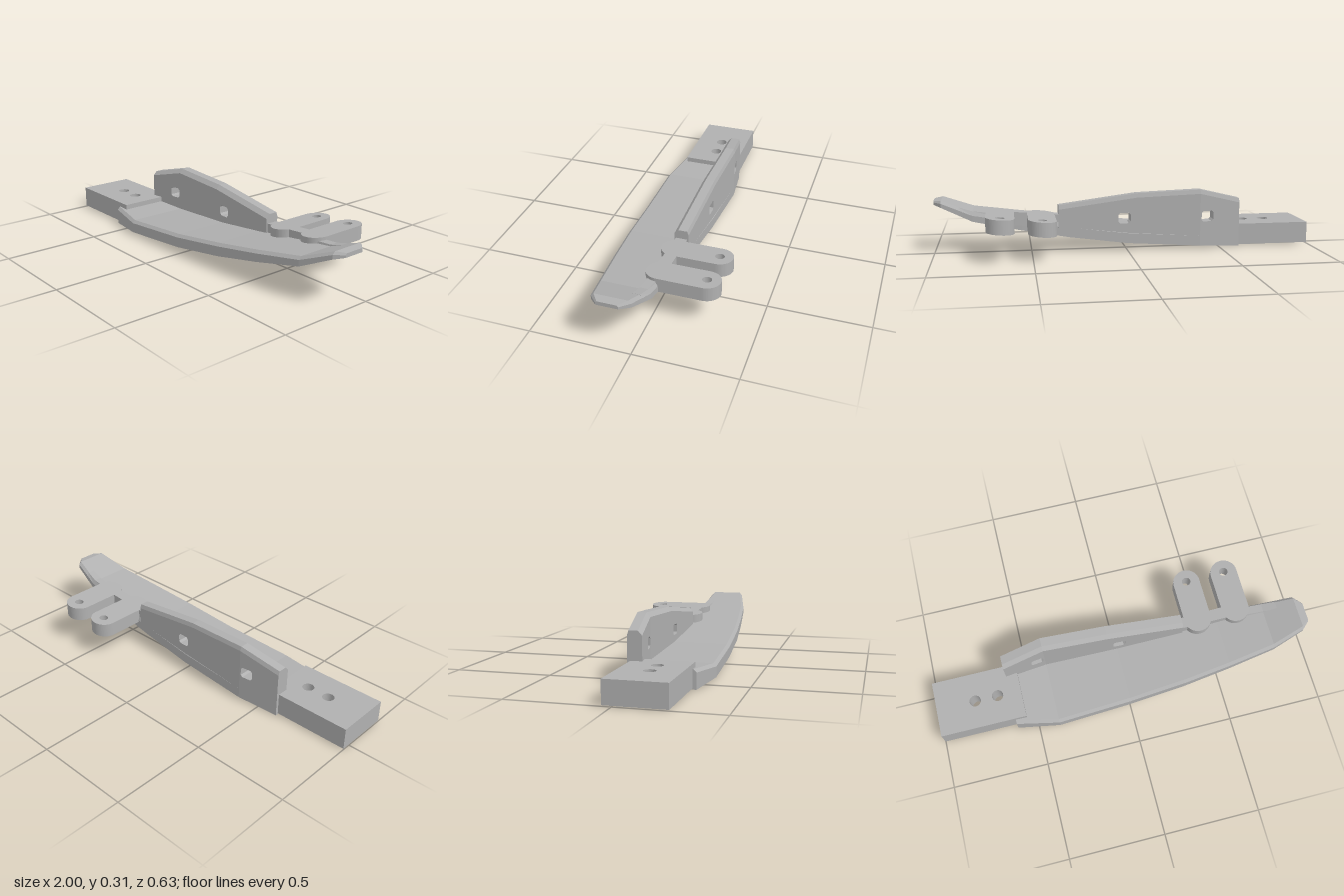
import * as THREE from 'three';

const mat = new THREE.MeshStandardMaterial({ color: 0xb0b0b0 });
mat.name = 'grey plastic';

// Closed solid through cross-sections: each section is { x, pts: [[z, y], ...] }
function loft(sections) {
  const pos = [];
  const put = (s, j) => pos.push(s.x, s.pts[j][1], s.pts[j][0]);
  const n = sections[0].pts.length;
  for (let i = 0; i < sections.length - 1; i++) {
    const a = sections[i], b = sections[i + 1];
    for (let j = 0; j < n; j++) {
      const k = (j + 1) % n;
      put(a, j); put(a, k); put(b, k);
      put(a, j); put(b, k); put(b, j);
    }
  }
  const first = sections[0], last = sections[sections.length - 1];
  for (let j = 1; j < n - 1; j++) {
    put(first, 0); put(first, j + 1); put(first, j);
    put(last, 0); put(last, j); put(last, j + 1);
  }
  const g = new THREE.BufferGeometry();
  g.setAttribute('position', new THREE.Float32BufferAttribute(pos, 3));
  g.computeVertexNormals();
  return g;
}

// Move vertices by a rule
function warp(g, rule) {
  const p = g.attributes.position, v = new THREE.Vector3();
  for (let i = 0; i < p.count; i++) {
    v.fromBufferAttribute(p, i);
    rule(v);
    p.setXYZ(i, v.x, v.y, v.z);
  }
  g.computeVertexNormals();
  return g;
}

const outline = (pts) => new THREE.Shape(pts.map(([x, y]) => new THREE.Vector2(x, y)));
const extrude = (shape, depth) =>
  new THREE.ExtrudeGeometry(shape, { depth, bevelEnabled: false, curveSegments: 16 });

function roundHole(x, y, r) {
  const p = new THREE.Path();
  p.absarc(x, y, r, 0, Math.PI * 2, true);
  return p;
}

// Square window with clipped corners
function windowHole(x, y, w, h, c) {
  const p = [[-w, -h + c], [-w, h - c], [-w + c, h], [w - c, h], [w, h - c], [w, -h + c], [w - c, -h], [-w + c, -h]];
  return new THREE.Path(p.map(([a, b]) => new THREE.Vector2(x + a, y + b)));
}

export function createModel() {
  const model = new THREE.Group();
  const add = (name, geometry, parent = model) => {
    const m = new THREE.Mesh(geometry, mat);
    m.name = name;
    parent.add(m);
  };

  // Upswept blade: x, bottom, top, back z, front z
  const stations = [
    [-0.61, 0, 0.095, -0.06, 0.27], [-0.39, 0.014, 0.082, -0.087, 0.314],
    [0, 0.038, 0.106, -0.075, 0.3], [0.3, 0.076, 0.142, -0.062, 0.284],
    [0.55, 0.118, 0.175, -0.05, 0.26], [0.8, 0.166, 0.212, -0.028, 0.23],
    [0.96, 0.238, 0.273, 0, 0.19], [1, 0.248, 0.268, 0.045, 0.152],
  ];
  add('blade', loft(stations.map(([x, lo, hi, zb, zf]) => {
    const c = Math.min(0.015, (hi - lo) * 0.4);
    return { x, pts: [[zb + c, hi], [zf - c, hi], [zf, hi - c], [zf, lo], [zb, lo], [zb, hi - c]] };
  })));

  // Side wall: two straight panels with windows, plus a chamfered top
  const wall = new THREE.Group();
  wall.name = 'sideWall';
  model.add(wall);
  const thick = 0.073, cap = 0.022;
  const wallBack = (x) => (x < -0.39 ? -0.06 - (0.027 * (x + 0.61)) / 0.22 : -0.087 + (0.027 * (x + 0.39)) / 0.75);
  const crest = [[-0.61, 0.26], [-0.39, 0.315], [-0.05, 0.301], [0.36, 0.245]];
  const body = crest.map(([x, y]) => [x, y - cap]);
  const panels = [
    ['rearPanel', [[-0.61, 0.04], [-0.39, 0.04], body[1], body[0]], -0.43],
    ['frontPanel', [[-0.39, 0.04], [0, 0.07], [0.3, 0.105], [0.36, 0.115], body[3], body[2], body[1]], 0.015],
  ];
  for (const [name, pts, holeX] of panels) {
    const s = outline(pts);
    s.holes.push(windowHole(holeX, 0.172, 0.033, 0.028, 0.01));
    add(name, warp(extrude(s, thick), (v) => { v.z += wallBack(v.x); }), wall);
  }
  add('wallCrest', loft(crest.map(([x, y]) => {
    const b = wallBack(x), f = b + thick;
    return { x, pts: [[b + 0.007, y], [f - 0.02, y], [f, y - cap], [b, y - cap]] };
  })), wall);

  // Low lip fading out towards the tip
  add('lip', loft([[0.36, 0.148, -0.06, -0.01, 0.02], [0.55, 0.175, -0.05, 0.012, 0.018],
    [0.8, 0.212, -0.028, 0.034, 0.007], [0.87, 0.238, -0.016, 0.04, 0.001]].map(([x, y, b, f, h]) => ({
    x, pts: [[b + 0.012, y + h], [f - 0.008, y + h], [f, y - 0.015], [b, y - 0.015]],
  }))));

  // Mounting tang with two bolt holes
  const tang = outline([[-1, -0.045], [-0.55, -0.045], [-0.55, 0.25], [-1, 0.25]]);
  for (const x of [-0.795, -0.675]) tang.holes.push(roundHole(x, 0.105, 0.03));
  add('mountingTang', extrude(tang, 0.113).rotateX(Math.PI / 2).translate(0, 0.118, 0));

  // Hinge bracket: two round-ended lugs and a bridge, sloping gently upwards
  const bracket = new THREE.Group();
  bracket.name = 'hingeBracket';
  model.add(bracket);
  const slope = (g) => warp(g.rotateX(Math.PI / 2), (v) => { v.y += 0.213 + 0.083 * (v.x - 0.55); });
  const r = 0.071;
  for (const x of [0.452, 0.66]) {
    const lug = new THREE.Shape();
    lug.absarc(x, -0.025, r, 0, Math.PI, false);
    lug.absarc(x, -0.315 + r, r, Math.PI, Math.PI * 2, false);
    lug.closePath();
    lug.holes.push(roundHole(x, -0.248, 0.023));
    add('lug', slope(extrude(lug, 0.074)), bracket);
  }
  add('bridge', slope(extrude(outline([[0.35, -0.052], [0.66, -0.052], [0.66, 0.012], [0.35, 0.006]]), 0.07)), bracket);

  return model;
}
